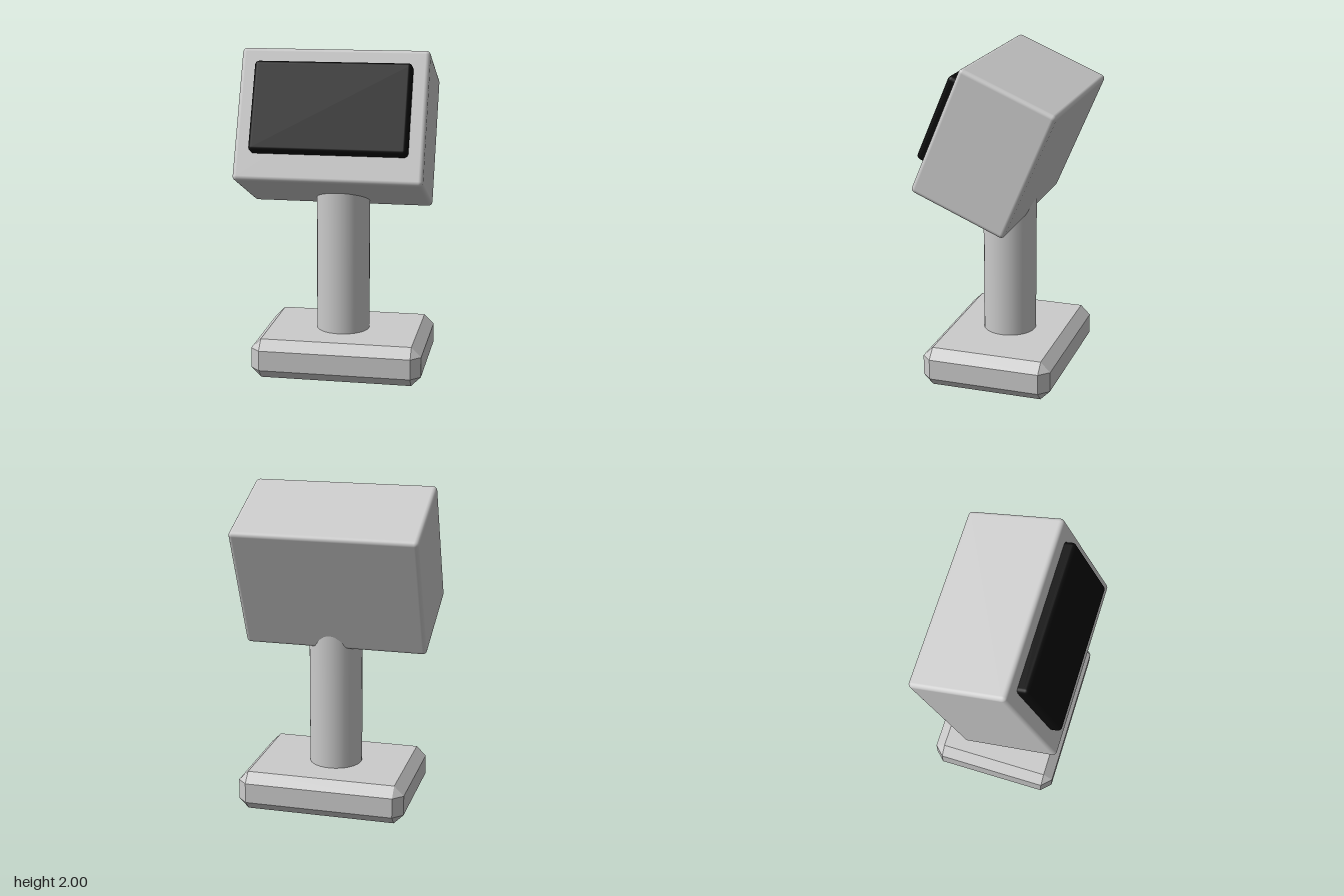
import * as THREE from 'three';
import { RoundedBoxGeometry } from 'three/addons/geometries/RoundedBoxGeometry.js';
import { ConvexGeometry } from 'three/addons/geometries/ConvexGeometry.js';

// Box with all edges cut at 45 degrees
function chamferedBox(w, h, d, c) {
  const points = [];
  for (const sx of [-1, 1]) for (const sy of [-1, 1]) for (const sz of [-1, 1]) {
    const x = w / 2, y = h / 2, z = d / 2;
    points.push(
      new THREE.Vector3(sx * x, sy * (y - c), sz * (z - c)),
      new THREE.Vector3(sx * (x - c), sy * y, sz * (z - c)),
      new THREE.Vector3(sx * (x - c), sy * (y - c), sz * z),
    );
  }
  return new ConvexGeometry(points);
}

export function createModel() {
  const model = new THREE.Group();
  const grey = new THREE.MeshStandardMaterial({ color: 0xcccccc });
  const flatGrey = new THREE.MeshStandardMaterial({ color: 0xcccccc, flatShading: true });
  const black = new THREE.MeshStandardMaterial({ color: 0x0a0a0a });

  const add = (parent, name, geometry, material, x, y, z) => {
    const mesh = new THREE.Mesh(geometry, material);
    mesh.name = name;
    mesh.position.set(x, y, z);
    parent.add(mesh);
  };

  // Foot and column
  add(model, 'base', chamferedBox(1.05, 0.245, 0.81, 0.06), flatGrey, 0.036, 0.1225, 0);
  add(model, 'column', new THREE.CylinderGeometry(0.165, 0.165, 1.03, 32), grey, 0.025, 0.735, 0);

  // Head tilted back, with a raised screen
  const head = new THREE.Group();
  head.name = 'head';
  head.position.set(0, 1.51, 0);
  head.rotation.x = -0.4;
  add(head, 'housing', new RoundedBoxGeometry(1.135, 0.818, 0.62, 3, 0.026), grey, -0.002, 0, 0);
  add(head, 'screen', new RoundedBoxGeometry(0.945, 0.555, 0.15, 3, 0.026), black, 0, 0.033, 0.301);
  model.add(head);

  return model;
}
